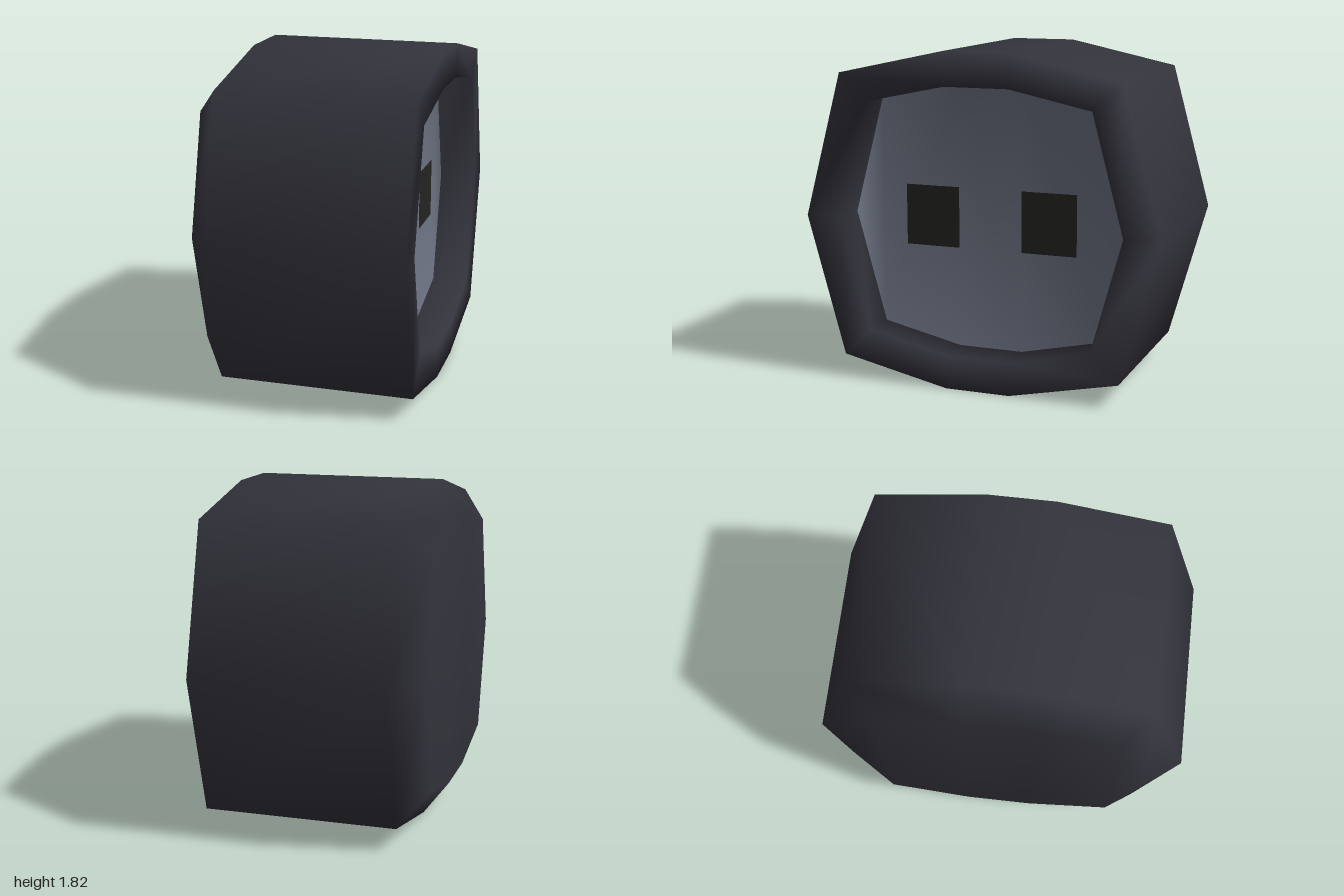
import * as THREE from 'three';

const material = (name, color) => new THREE.MeshStandardMaterial({ name, color });

// Cross-section as [z, y], counter-clockwise when seen from +x: mirror one half
function loop(half) {
  return [...half, ...half.map(([z, y]) => [-z, y]).reverse()];
}

export function createModel() {
  const group = new THREE.Group();
  group.name = 'socket';
  const shellColor = material('charcoal', 0x33333c);
  const faceColor = material('slate', 0x6e7484);
  const slotColor = material('black', 0x242422);

  const outer = loop([[0.18, 1.82], [0.785, 1.69], [1, 0.9], [0.785, 0.13], [0.18, 0]]);
  const inner = loop([[0.18, 1.635], [0.63, 1.54], [0.8, 0.9], [0.63, 0.285], [0.18, 0.185]]);
  const n = outer.length;

  // Rings from the back cap over the bevel, sides and rim, down into the recess
  const rings = [[-0.595, inner], [-0.455, outer], [0.595, outer], [0.595, inner], [0.39, inner]];
  const positions = rings.flatMap(([x, points]) => points.flatMap(([z, y]) => [x, y, z]));
  const index = [];
  for (let r = 0; r < rings.length - 1; r++) {
    for (let i = 0; i < n; i++) {
      const j = (i + 1) % n;
      const a = r * n;
      const b = a + n;
      index.push(a + i, a + j, b + i, a + j, b + j, b + i);
    }
  }

  // Flat caps, filled in upright strips between the upper and lower points
  function cap(start, flip) {
    const add = (a, b, c) => index.push(start + a, start + (flip ? c : b), start + (flip ? b : c));
    add(1, 2, 3);
    add(0, 1, 3);
    add(0, 3, 4);
    add(0, 4, 5);
    add(0, 5, 9);
    add(9, 5, 6);
    add(9, 6, 8);
    add(8, 6, 7);
  }
  cap(0, true);
  const shellCount = index.length;
  cap((rings.length - 1) * n, false);

  const geometry = new THREE.BufferGeometry();
  geometry.setAttribute('position', new THREE.Float32BufferAttribute(positions, 3));
  geometry.setIndex(index);
  geometry.addGroup(0, shellCount, 0);
  geometry.addGroup(shellCount, index.length - shellCount, 1);
  geometry.computeVertexNormals();
  const shell = new THREE.Mesh(geometry, [shellColor, faceColor]);
  shell.name = 'shellWithRecessedFace';
  group.add(shell);

  // Two dark slots lying on the recessed face
  for (const side of [-1, 1]) {
    const slot = new THREE.Mesh(new THREE.PlaneGeometry(0.31, 0.335), slotColor);
    slot.name = side > 0 ? 'frontSlot' : 'backSlot';
    slot.rotation.y = Math.PI / 2;
    slot.position.set(0.395, 0.905, side * 0.335);
    group.add(slot);
  }
  return group;
}
